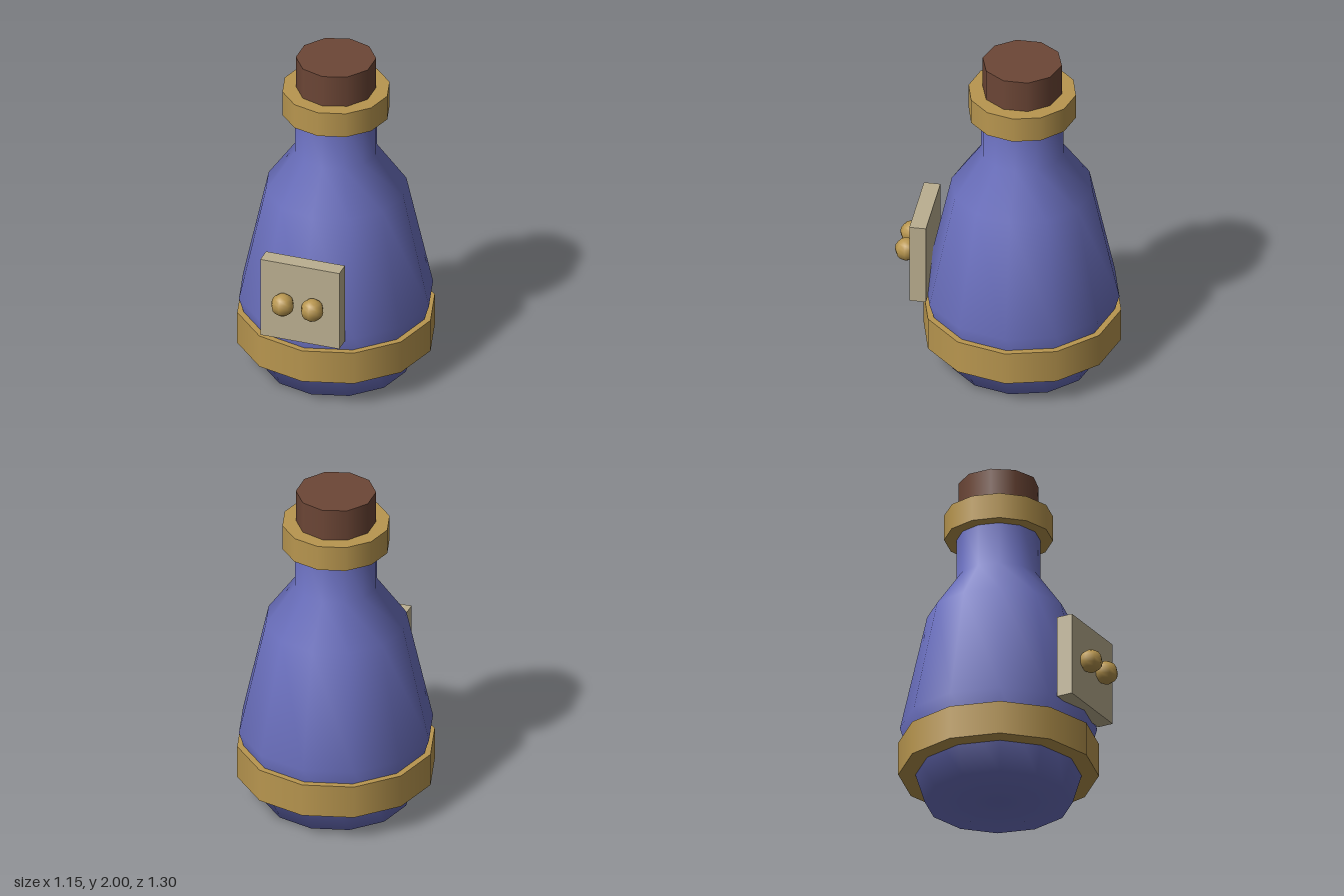
import * as THREE from 'three';

const material = (name, color) => {
  const m = new THREE.MeshStandardMaterial({ color });
  m.name = name;
  return m;
};

export function createModel() {
  const glass = material('blue glass', 0x6c71c0);
  const gold = material('gold', 0xb8964f);
  const cork = material('brown cork', 0x6c4636);
  const paper = material('pale label', 0xbbaf90);

  const model = new THREE.Group();
  model.name = 'potionBottle';
  const AXIS_Z = -0.075; // the bottle sits slightly behind the centre

  const add = (name, geometry, mat, x, y, z) => {
    const mesh = new THREE.Mesh(geometry, mat);
    mesh.name = name;
    mesh.position.set(x, y, z);
    model.add(mesh);
  };

  // Upright prism between two heights on the bottle axis
  const band = (name, radius, y0, y1, sides, mat) =>
    add(name, new THREE.CylinderGeometry(radius, radius, y1 - y0, sides), mat, 0, (y0 + y1) / 2, AXIS_Z);

  // Bottle: closed base, flared belly, shoulder and straight neck
  const profile = [[0, 0], [0.425, 0], [0.565, 0.46], [0.41, 1.16], [0.24, 1.4], [0.24, 1.72]]
    .map(([r, y]) => new THREE.Vector2(r, y));
  add('bottleBody', new THREE.LatheGeometry(profile, 12), glass, 0, 0, AXIS_Z);

  // Metal bands and stopper
  band('baseBand', 0.575, 0.168, 0.37, 12, gold);
  band('neckCollar', 0.312, 1.652, 1.806, 12, gold);
  band('stopper', 0.23, 1.7, 2, 10, cork);

  // Front label with two studs
  add('label', new THREE.BoxGeometry(0.48, 0.5, 0.096), paper, 0, 0.702, 0.491);
  for (const side of [-1, 1]) {
    add(side < 0 ? 'rightStud' : 'leftStud', new THREE.SphereGeometry(0.068, 8, 8), gold, side * 0.09, 0.704, 0.582);
  }

  return model;
}
